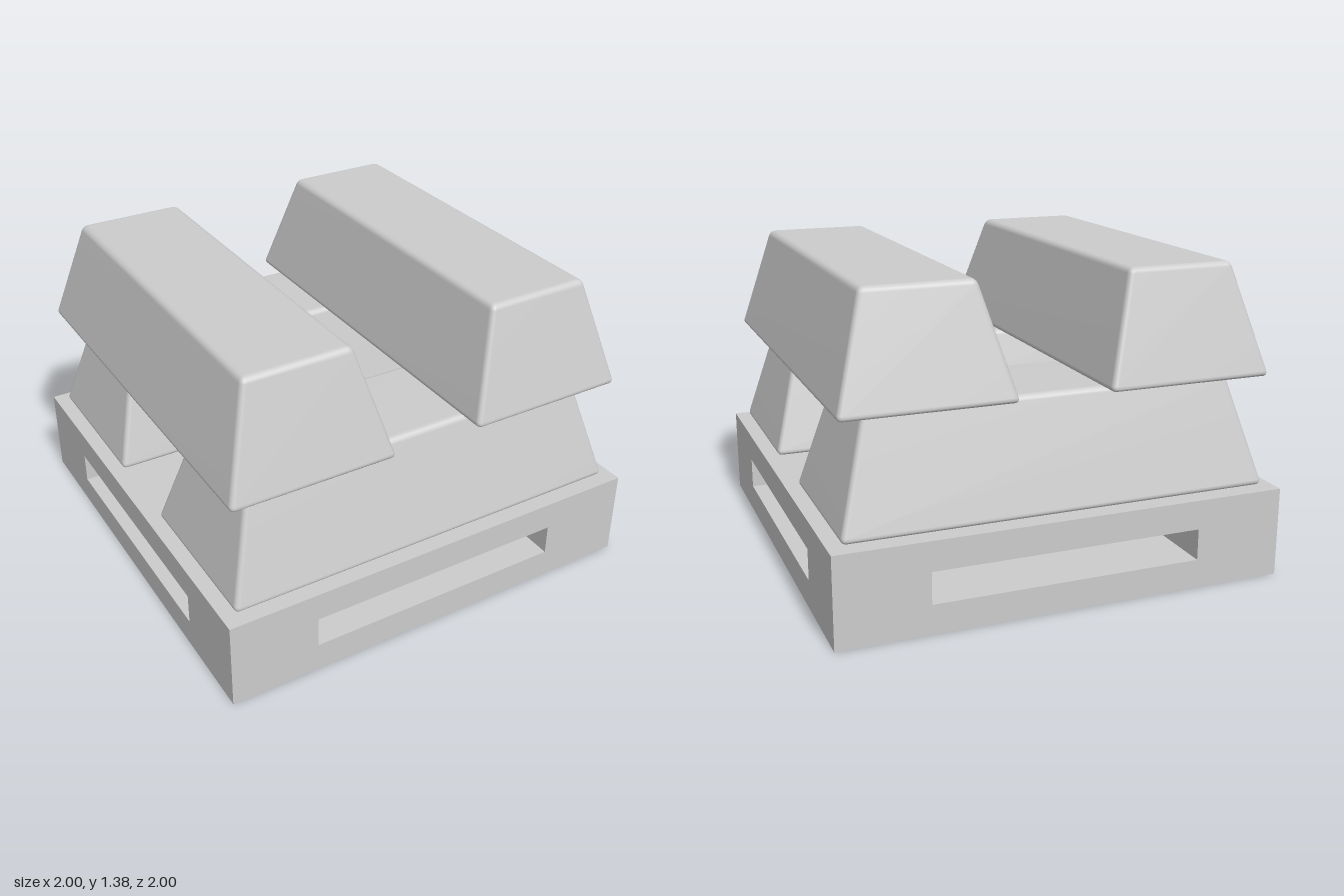
import * as THREE from 'three';
import { mergeVertices } from 'three/addons/utils/BufferGeometryUtils.js';
import { RoundedBoxGeometry } from 'three/addons/geometries/RoundedBoxGeometry.js';

const SLOT = 0.6; // half-width of the slots and of the bottom opening
const SLOT_LOW = 0.13, SLOT_HIGH = 0.27, PALLET_TOP = 0.4;
const BAR_HEIGHT = 0.485, BAR_OFFSET = 0.573;

// Rounded bar whose four sides lean inwards by the same amount
function barGeometry() {
  const inset = 0.135;
  let geometry = new RoundedBoxGeometry(0.75, BAR_HEIGHT, 1.895, 2, 0.025);
  const p = geometry.attributes.position;
  for (let i = 0; i < p.count; i++) {
    const t = p.getY(i) / BAR_HEIGHT + 0.5;
    p.setX(i, p.getX(i) - Math.sign(p.getX(i)) * inset * t);
    p.setZ(i, p.getZ(i) - Math.sign(p.getZ(i)) * inset * t);
  }
  // Weld so the shading flows softly over the rounded edges
  geometry.deleteAttribute('normal');
  geometry.deleteAttribute('uv');
  geometry = mergeVertices(geometry, 1e-4);
  geometry.computeVertexNormals();
  return geometry;
}

function squarePath(path, h) {
  path.moveTo(-h, -h).lineTo(h, -h).lineTo(h, h).lineTo(-h, h).closePath();
  return path;
}

export function createModel() {
  const model = new THREE.Group();
  model.name = 'stackedBars';
  const material = new THREE.MeshStandardMaterial({ color: 0xcccccc });

  const add = (parent, name, geometry, x, y, z) => {
    const mesh = new THREE.Mesh(geometry, material);
    mesh.name = name;
    mesh.position.set(x, y, z);
    parent.add(mesh);
    return mesh;
  };

  // Pallet: open bottom frame, four corner posts and a closed deck
  const pallet = new THREE.Group();
  pallet.name = 'pallet';
  model.add(pallet);

  const frameShape = squarePath(new THREE.Shape(), 1);
  frameShape.holes.push(squarePath(new THREE.Path(), SLOT));
  const frame = new THREE.ExtrudeGeometry(frameShape, { depth: SLOT_LOW, bevelEnabled: false });
  frame.rotateX(-Math.PI / 2);
  add(pallet, 'bottomFrame', frame, 0, 0, 0);

  const postSize = 1 - SLOT, postHeight = SLOT_HIGH - SLOT_LOW;
  const post = new THREE.BoxGeometry(postSize, postHeight, postSize);
  const postAt = (1 + SLOT) / 2;
  for (const x of [-1, 1]) {
    for (const z of [-1, 1]) {
      add(pallet, 'cornerPost', post, x * postAt, SLOT_LOW + postHeight / 2, z * postAt);
    }
  }

  const deckHeight = PALLET_TOP - SLOT_HIGH;
  add(pallet, 'deck', new THREE.BoxGeometry(2, deckHeight, 2), 0, SLOT_HIGH + deckHeight / 2, 0);

  // Two bars across the pallet, two more laid over them front to back
  const bar = barGeometry();
  const lowerY = 0.407 + BAR_HEIGHT / 2;
  const upperY = 0.896 + BAR_HEIGHT / 2;
  for (const side of [-1, 1]) {
    const lower = add(model, side > 0 ? 'lowerFrontBar' : 'lowerBackBar', bar, 0, lowerY, side * BAR_OFFSET);
    lower.rotation.y = Math.PI / 2;
    add(model, side > 0 ? 'upperLeftBar' : 'upperRightBar', bar, side * BAR_OFFSET, upperY, 0);
  }

  return model;
}
